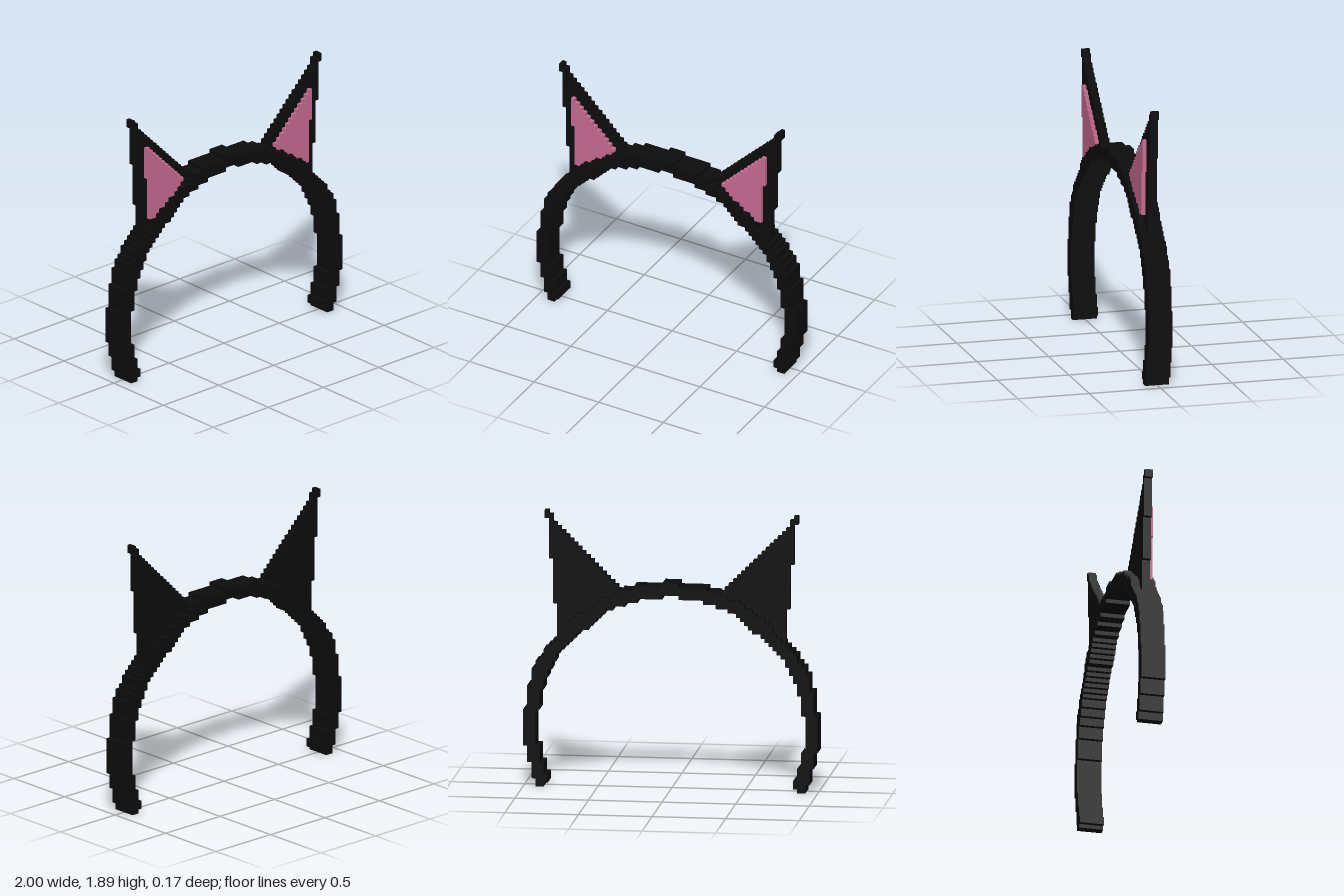
import * as THREE from 'three';

const U = 1 / 36; // one block

// Stair outline: from each corner go sideways first, then up or down to the next
function stairs(corners) {
  const out = [corners[0]];
  for (let i = 1; i < corners.length; i++) {
    const [px, py] = corners[i - 1], [x, y] = corners[i];
    if (x !== px && y !== py) out.push([x, py]);
    out.push([x, y]);
  }
  return out;
}

const mirror = (points) => points.map(([x, y]) => [-x, y]).reverse();

// Extrude an outline given in blocks between depths z0 and z1
function slab(name, points, z0, z1, material) {
  const shape = new THREE.Shape(points.map(([x, y]) => new THREE.Vector2(x * U, y * U)));
  const geometry = new THREE.ExtrudeGeometry(shape, { depth: (z1 - z0) * U, bevelEnabled: false });
  geometry.translate(0, 0, z0 * U);
  const mesh = new THREE.Mesh(geometry, material);
  mesh.name = name;
  return mesh;
}

export function createModel() {
  const group = new THREE.Group();
  group.name = 'catEarHeadband';
  const black = new THREE.MeshStandardMaterial({ name: 'black', color: 0x0d0d0d });
  const pink = new THREE.MeshStandardMaterial({ name: 'pink', color: 0xc96c92 });

  // Headband: outer edge down to the tip, then inner edge back to the top
  const half = stairs([
    [0, 51], [2, 50], [9, 49], [12, 48], [14, 47], [17, 46], [18, 45], [20, 44], [21, 43],
    [23, 42], [24, 41], [25, 39], [26, 38], [27, 37], [28, 36], [29, 35], [30, 34], [31, 32],
    [32, 31], [33, 29], [34, 25], [35, 19], [36, 10], [35, 6], [34, 2], [33, 0],
    [31, 1], [30, 3], [31, 6], [32, 10], [33, 19], [32, 24], [31, 27], [30, 29], [29, 31],
    [28, 33], [27, 34], [26, 35], [25, 36], [24, 37], [23, 38], [22, 39], [20, 40], [19, 41],
    [18, 42], [17, 43], [16, 44], [14, 45], [11, 46], [8, 47], [2, 48], [0, 48],
  ]);
  // the two halves share the points on the centre line
  const band = [...half, ...mirror(half).slice(1, -1)];
  group.add(slab('headband', band, -3, 3, black));

  // Ear: stepped outer side, tip, stepped slope, and a foot hidden in the band
  const earCorners = [[28, 36], [28, 45], [29, 56], [30, 66], [31, 68], [30, 67]];
  for (let k = 28; k >= 12; k--) earCorners.push([k + 1, 37 + k]);
  earCorners.push([12, 47]);
  const ear = [...stairs(earCorners), [20, 42]];

  // Inner ear: stepped slope down to the point, then the lower edge back
  const innerCorners = [[27, 60]];
  for (let x = 26; x >= 15; x--) innerCorners.push([x, 33 + x]);
  for (let x = 16; x <= 25; x++) innerCorners.push([x, Math.floor(41 + (25 - x) * 0.7)]);
  innerCorners.push([26, 52], [27, 52]);
  const inner = stairs(innerCorners);

  for (const [side, place] of [['left', (p) => p], ['right', mirror]]) {
    group.add(slab(side + 'Ear', place(ear), -1, 1, black));
    group.add(slab(side + 'InnerEar', place(inner), 1, 2, pink));
  }
  return group;
}
